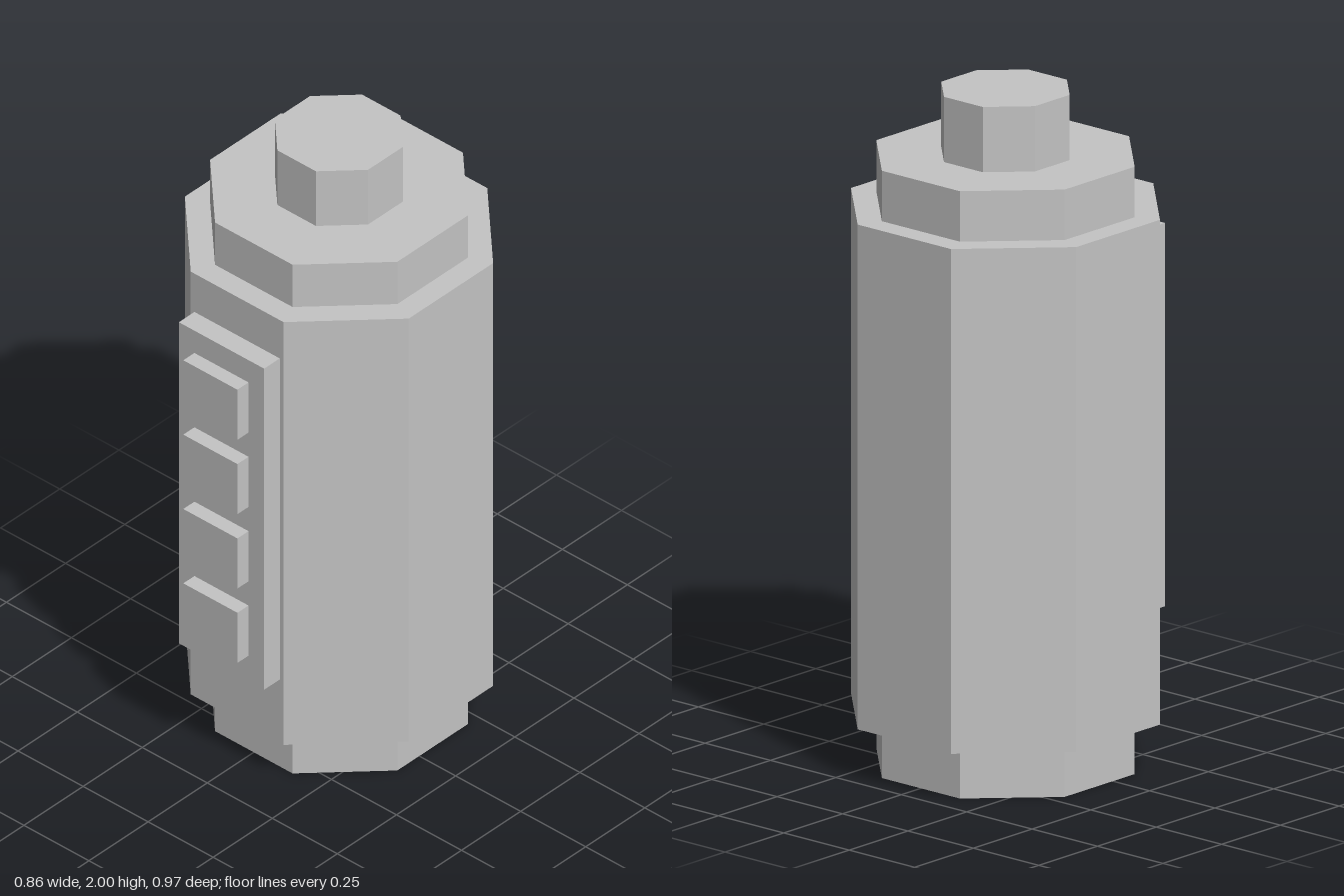
import * as THREE from 'three';

export function createModel() {
  const group = new THREE.Group();
  const grey = new THREE.MeshStandardMaterial({ color: 0xc4c4c4, flatShading: true });
  grey.name = 'light grey';
  const axisZ = -0.0565;

  function add(name, geometry, x, y, z) {
    const mesh = new THREE.Mesh(geometry, grey);
    mesh.name = name;
    mesh.position.set(x, y, z);
    group.add(mesh);
  }

  // Octagonal prism with a flat side facing front, sized by its half width
  function octagon(name, halfWidth, y0, y1) {
    const r = halfWidth / Math.cos(Math.PI / 8);
    const geometry = new THREE.CylinderGeometry(r, r, y1 - y0, 8, 1, false, Math.PI / 8);
    add(name, geometry, 0, (y0 + y1) / 2, axisZ);
  }

  // Stacked canister sections
  octagon('baseCap', 0.36, 0, 0.155);
  octagon('body', 0.4305, 0.155, 1.656);
  octagon('topCap', 0.36, 1.656, 1.806);
  octagon('topKnob', 0.179, 1.806, 2);

  // Front panel with a column of four square buttons
  add('frontPanel', new THREE.BoxGeometry(0.328, 1.14, 0.067), 0, 0.95, 0.4065);
  for (let i = 0; i < 4; i++) {
    add(`button${i + 1}`, new THREE.BoxGeometry(0.208, 0.178, 0.047), 0, 0.56 + i * 0.264, 0.4635);
  }

  return group;
}
